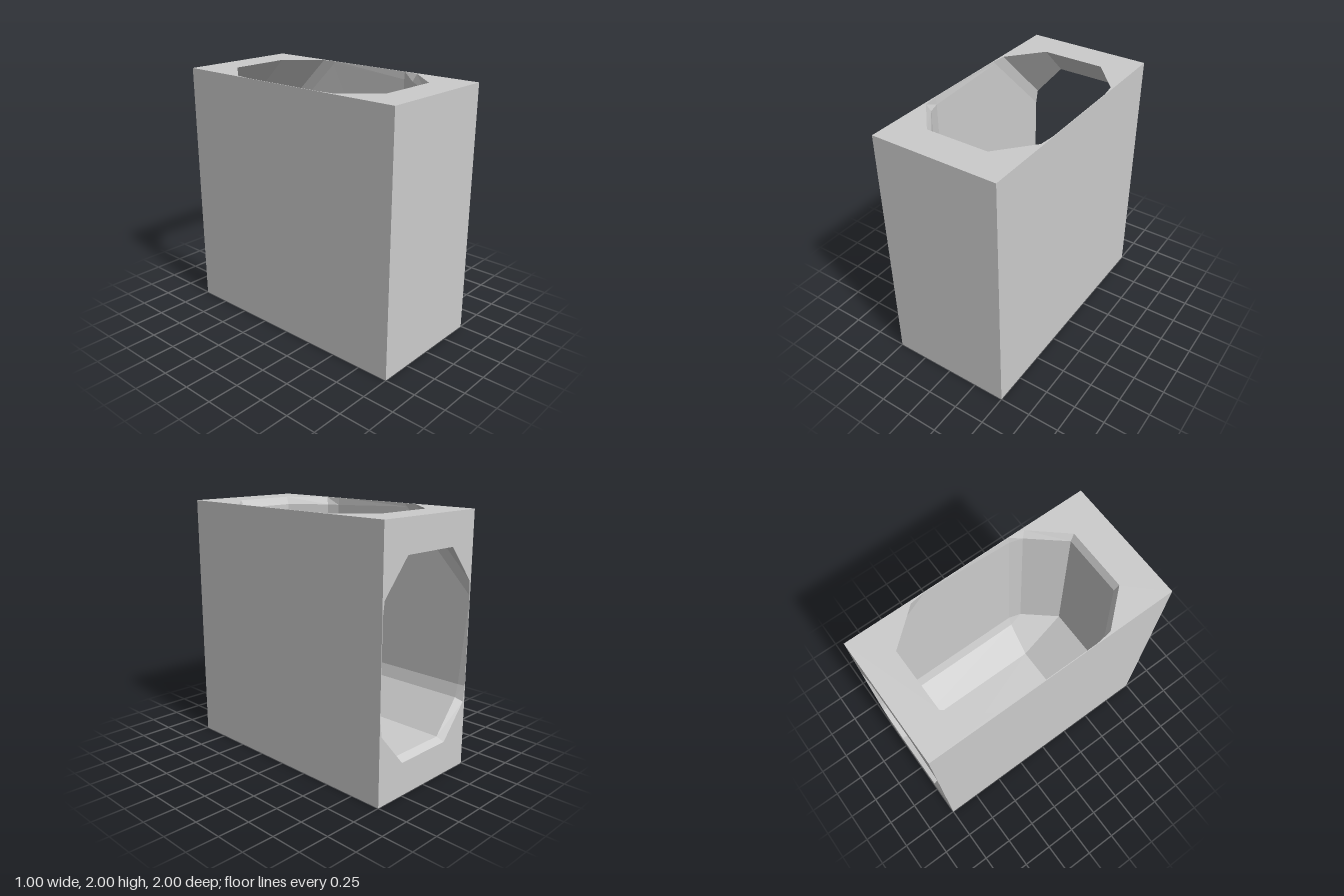
import * as THREE from 'three';

const material = new THREE.MeshStandardMaterial({ color: 0xcccccc, flatShading: true, side: THREE.DoubleSide });

// Half of the octagonal opening: [x, r], r = distance from the top back edge.
const halfRim = [[0.25, 0.25], [0.48, 0.52], [0.495, 0.64], [0.495, 1.35], [0.48, 1.475], [0.25, 1.74]];
// The same corners behind the small bevel of the rim.
const halfBore = [[0.25, 0.25], [0.48, 0.52], [0.495, 0.64], [0.49, 1.35], [0.46, 1.45], [0.24, 1.71]];
const mirror = half => [...half, ...half.map(([x, r]) => [-x, r]).reverse()];
const rim = mirror(halfRim);
const bore = mirror(halfBore);

const BEVEL = 0.06; // depth of the rim bevel
const BEND = 1.35;  // depth at which the elbow starts

function add(group, name, geometry) {
  const mesh = new THREE.Mesh(geometry, material);
  mesh.name = name;
  group.add(mesh);
}

// Path of one corner from the top opening to the back opening.
function cornerPath(i) {
  const [x, r] = rim[i];
  const [bx, br] = bore[i];
  let path; // [x, distance forward, depth]
  if (r < 1) {
    path = [0, 0.04, 0.5, 0.5, 0.96, 1].map(t => [x, r * (1 - t), r * t]);
  } else {
    path = [[x, r, 0], [bx, br, BEVEL], [bx, br, BEND], [bx, BEND, br], [bx, BEVEL, br], [x, 0, r]];
  }
  return path.map(([px, f, d]) => [px, 2 - d, f - 1]);
}

// Elbow-shaped tunnel joining both openings.
function tunnelGeometry() {
  const paths = rim.map((_, i) => cornerPath(i));
  const positions = [];
  paths.forEach((p, i) => {
    const q = paths[(i + 1) % paths.length];
    for (let s = 0; s < p.length - 1; s++) {
      positions.push(...p[s], ...p[s + 1], ...q[s + 1], ...p[s], ...q[s + 1], ...q[s]);
    }
  });
  const geometry = new THREE.BufferGeometry();
  geometry.setAttribute('position', new THREE.Float32BufferAttribute(positions, 3));
  geometry.computeVertexNormals();
  return geometry;
}

// Panel with the octagonal hole, hanging from the top back edge.
function holedPanel() {
  const shape = new THREE.Shape([[-0.5, -2], [0.5, -2], [0.5, 0], [-0.5, 0]].map(p => new THREE.Vector2(...p)));
  shape.holes.push(new THREE.Path(rim.map(([x, r]) => new THREE.Vector2(x, -r))));
  return new THREE.ShapeGeometry(shape);
}

export function createModel() {
  const group = new THREE.Group();
  group.name = 'hollowBlock';

  // Closed outer faces
  add(group, 'frontFace', new THREE.PlaneGeometry(1, 2).translate(0, 1, 1));
  add(group, 'bottomFace', new THREE.PlaneGeometry(1, 2).rotateX(Math.PI / 2));
  for (const side of [1, -1]) {
    add(group, side > 0 ? 'leftFace' : 'rightFace',
      new THREE.PlaneGeometry(2, 2).rotateY(side * Math.PI / 2).translate(side * 0.5, 1, 0));
  }

  // Faces with openings
  add(group, 'topFace', holedPanel().rotateX(-Math.PI / 2).translate(0, 2, -1));
  add(group, 'backFace', holedPanel().rotateY(Math.PI).translate(0, 2, -1));

  add(group, 'elbowTunnel', tunnelGeometry());
  return group;
}
